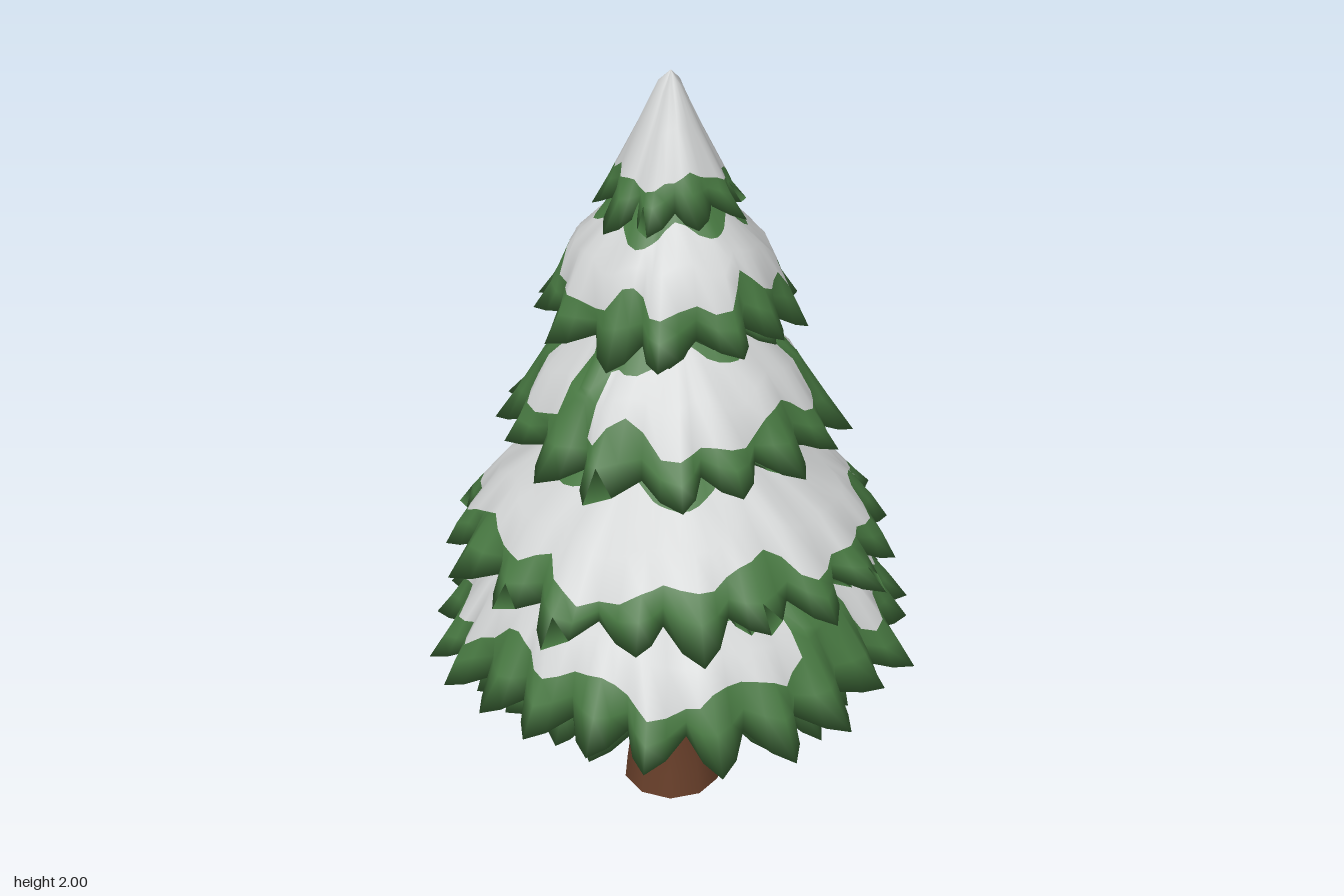
import * as THREE from 'three';

const needles = new THREE.MeshStandardMaterial({ color: 0x467640 });
needles.name = 'needleGreen';
const snow = new THREE.MeshStandardMaterial({ color: 0xcfd1d1 });
snow.name = 'snowWhite';
const bark = new THREE.MeshStandardMaterial({ color: 0x683f2a });
bark.name = 'barkBrown';

function seeded(seed) {
  let s = seed * 7919 + 17;
  return () => (s = (s * 16807) % 2147483647) / 2147483647;
}
const mix = (a, b, t) => a + (b - a) * t;

// How far the tooth cut bites into each profile point
const CUT = [0, 0.03, 0.07, 0.16, 0.55, 1];
const LEAF = [0, 0.62, 1, 0.62]; // valley, shoulder, tip, shoulder

// A jagged ring of leaves: profile of six [r, y] points from neck to tips, then an underside.
// snowFrom is the first profile point under snow, null for bare leaves; gaps are [degrees, half width].
function leafRing({ name, teeth, profile, under, bite, lift, seed, snowFrom = null, gaps = [], ruffle = 1 }) {
  const rand = seeded(seed);
  const cols = teeth * 4, rows = 7;
  const pos = [], bare = [];
  const grid = Array.from({ length: rows }, () => []);
  let short = 0, turn = 0, hang = 0;
  for (let i = 0; i < cols; i++) {
    const w = LEAF[i % 4];
    if (i % 4 === 0) {
      short = rand() * 0.4 - 0.15;
      turn = (rand() - 0.5) * 1.4;
      hang = (rand() - 0.5) * 0.03;
    }
    const a = ((i + turn * w) / cols) * Math.PI * 2;
    const cut = 1 - w + w * short;
    const sway = 0.012 * Math.sin(3 * a + seed * 2);

    // Snow edges wander along the profile and close up at the gaps
    let open = 1;
    for (const [deg, half] of gaps) {
      let d = Math.abs(a * 180 / Math.PI - deg) % 360;
      d = Math.min(d, 360 - d);
      open = Math.min(open, Math.sqrt(Math.max(0, d - half) / 7));
    }
    bare.push(open === 0);
    const wave = ruffle * (0.35 * Math.sin(5 * a + seed) + 0.35 * Math.sin(11 * a + seed * 3) + 0.3 * (rand() - 0.5));
    const uTop = mix(1.9, 1 + 0.3 * Math.sin(6 * a + seed), open);
    const uLow = mix(2.2, 3 + wave, open);
    const us = snowFrom === 0
      ? [0, 1, 2, uLow, (uLow + 5) / 2, 5]
      : [0, uTop, (uTop + uLow) / 2, uLow, (uLow + 5) / 2, 5];

    const point = (r, y) => {
      pos.push(r * Math.cos(a), y, r * Math.sin(a));
      return pos.length / 3 - 1;
    };
    us.forEach((u, j) => {
      const k = Math.min(4, Math.floor(u)), t = u - k;
      const f = mix(CUT[k], CUT[k + 1], t) * cut;
      const r = mix(profile[k][0], profile[k + 1][0], t) - bite * f;
      const y = mix(profile[k][1], profile[k + 1][1], t) + lift * f + (j ? sway : 0) + (j === 5 ? hang * w : 0);
      grid[j].push(point(Math.max(r, 0.001), y));
    });
    grid[6].push(point(under[0], under[1]));
  }

  const index = [[], []];
  for (let j = 0; j < rows - 1; j++) {
    for (let i = 0; i < cols; i++) {
      const n = (i + 1) % cols;
      const white = snowFrom !== null && j >= snowFrom && j < 3 && !bare[i] && !bare[n];
      const p = grid[j][i], q = grid[j][n], r = grid[j + 1][i], s = grid[j + 1][n];
      index[white ? 1 : 0].push(p, q, r, q, s, r);
    }
  }
  const geo = new THREE.BufferGeometry();
  geo.setAttribute('position', new THREE.Float32BufferAttribute(pos, 3));
  geo.setIndex([...index[0], ...index[1]]);
  geo.addGroup(0, index[0].length, 0);
  if (index[1].length) geo.addGroup(index[0].length, index[1].length, 1);
  geo.computeVertexNormals();
  const mesh = new THREE.Mesh(geo, [needles, snow]);
  mesh.name = name;
  return mesh;
}

export function createModel() {
  const tree = new THREE.Group();
  tree.name = 'snowyTree';

  // Trunk with a wider foot and a flare under the branches
  const trunk = new THREE.Group();
  trunk.name = 'trunk';
  const outline = [[0.137, 0], [0.128, 0.07], [0.113, 0.2], [0.115, 0.4], [0.125, 0.47], [0.2, 0.53], [0.2, 0.6]];
  const stem = new THREE.Mesh(new THREE.LatheGeometry(outline.map(p => new THREE.Vector2(...p)), 10), bark);
  stem.name = 'trunkStem';
  const foot = new THREE.Mesh(new THREE.CircleGeometry(0.137, 10), bark);
  foot.name = 'trunkBase';
  foot.rotation.set(Math.PI / 2, 0, Math.PI / 2);
  trunk.add(stem, foot);
  tree.add(trunk);

  // Branch tiers from bottom to top
  const tiers = [
    { teeth: 24, bite: 0.12, lift: 0.035, seed: 3, under: [0.15, 0.57], gaps: [[73, 10]],
      profile: [[0.2, 0.98], [0.385, 0.785], [0.49, 0.72], [0.555, 0.632], [0.605, 0.57], [0.66, 0.495]] },
    { teeth: 20, bite: 0.11, lift: 0.035, seed: 8, under: [0.24, 0.87], gaps: [],
      profile: [[0.17, 1.2], [0.3, 1.055], [0.43, 0.985], [0.51, 0.895], [0.555, 0.85], [0.605, 0.785]] },
    { teeth: 16, bite: 0.1, lift: 0.035, seed: 5, under: [0.12, 1.16], gaps: [[33, 6], [346, 6], [166, 5], [213, 6]],
      profile: [[0.14, 1.5], [0.225, 1.37], [0.315, 1.3], [0.37, 1.21], [0.405, 1.165], [0.455, 1.1]] },
    { teeth: 13, bite: 0.09, lift: 0.035, seed: 11, under: [0.1, 1.46], gaps: [],
      profile: [[0.1, 1.76], [0.165, 1.655], [0.235, 1.6], [0.278, 1.515], [0.305, 1.465], [0.35, 1.4]] },
  ];
  tiers.forEach((t, k) => {
    const group = new THREE.Group();
    group.name = 'branchTier' + (k + 1);
    group.add(leafRing({ ...t, name: 'snowyBranches', snowFrom: 1 }));
    // Lower, narrower ring of leaves tucked beneath
    const [r, y] = t.profile[5];
    const drop = k === 0 ? 0.05 : -0.005;
    const inner = [[0.6, 0.13], [0.66, 0.11], [0.72, 0.085], [0.77, 0.06], [0.81, 0.03], [0.86, -drop]];
    group.add(leafRing({
      ...t, name: 'lowerLeaves', seed: t.seed + 20, gaps: [], bite: t.bite * 0.75,
      profile: inner.map(([s, h]) => [r * s, y + h]),
    }));
    tree.add(group);
  });

  // Pointed top, snow from the tip down
  tree.add(leafRing({
    name: 'treeTop', teeth: 9, bite: 0.065, lift: 0.03, seed: 14, under: [0.07, 1.74], snowFrom: 0, ruffle: 0.3,
    profile: [[0, 2], [0.03, 1.965], [0.075, 1.875], [0.135, 1.765], [0.155, 1.73], [0.2, 1.67]],
  }));
  return tree;
}
